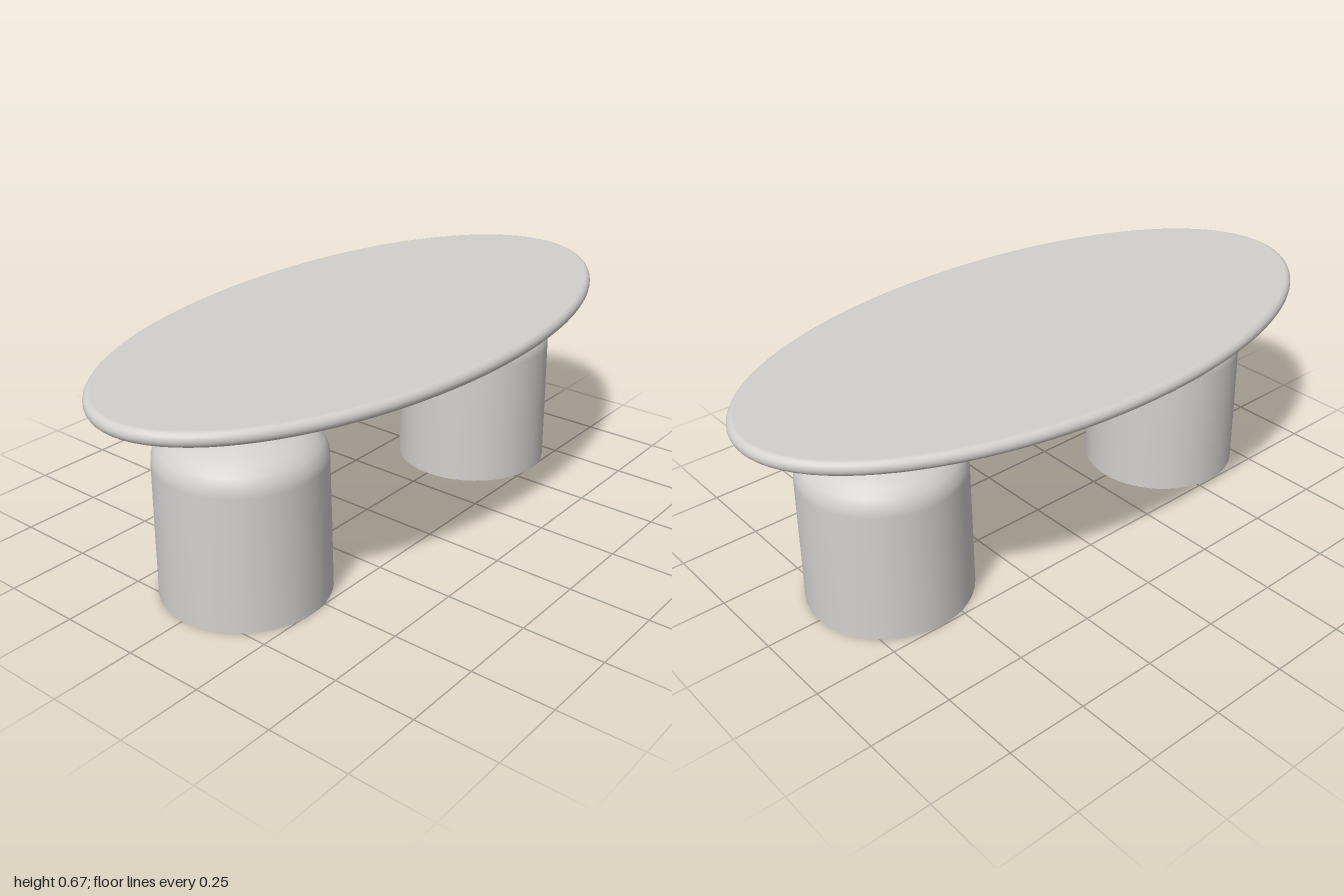
import * as THREE from 'three';
import { mergeVertices } from 'three/addons/utils/BufferGeometryUtils.js';

const stone = new THREE.MeshStandardMaterial({ color: 0xd2d0cd });
stone.name = 'pale stone';

function part(geometry, name) {
  const mesh = new THREE.Mesh(geometry, stone);
  mesh.name = name;
  return mesh;
}

function lathe(points, segments) {
  return new THREE.LatheGeometry(points.map(([r, y]) => new THREE.Vector2(r, y)), segments);
}

// Oval slab with an evenly rounded rim
function tabletopGeometry() {
  const bottom = 0.628, top = 0.671, half = (top - bottom) / 2, core = 1 - half;
  const profile = [[0, bottom]];
  for (let i = 0; i <= 10; i++) {
    const a = -Math.PI / 2 + (i / 10) * Math.PI;
    profile.push([core + half * Math.cos(a), bottom + half + half * Math.sin(a)]);
  }
  profile.push([0, top]);
  const round = lathe(profile, 96);
  round.deleteAttribute('normal');
  round.deleteAttribute('uv');
  const geometry = mergeVertices(round, 1e-5);
  // Narrow the core in z, leaving the rim its full thickness
  const p = geometry.attributes.position;
  for (let i = 0; i < p.count; i++) {
    const r = Math.hypot(p.getX(i), p.getZ(i));
    if (r > 1e-6) p.setZ(i, (p.getZ(i) / r) * (r - 0.495 * Math.min(r, core) / core));
  }
  geometry.computeVertexNormals();
  return geometry;
}

// Domed drum carrying a shallow upturned bowl
function pedestal(x, name) {
  const group = new THREE.Group();
  group.name = name;
  const drum = lathe([
    [0.252, 0], [0.25, 0.2], [0.247, 0.41], [0.245, 0.435], [0.232, 0.462], [0.21, 0.481],
    [0.184, 0.497], [0.15, 0.512], [0.115, 0.525], [0.07, 0.538], [0.035, 0.542], [0, 0.543],
  ], 48);
  const base = new THREE.CircleGeometry(0.252, 48).rotateX(Math.PI / 2);
  const bowl = lathe([
    [0, 0.539], [0.065, 0.541], [0.12, 0.551], [0.165, 0.566],
    [0.2, 0.586], [0.222, 0.607], [0.237, 0.632],
  ], 48);
  group.add(part(drum, 'drum'), part(base, 'drumBase'), part(bowl, 'bowl'));
  group.position.set(x, 0, 0.004);
  return group;
}

export function createModel() {
  const model = new THREE.Group();
  model.name = 'ovalTable';
  model.add(
    part(tabletopGeometry(), 'tabletop'),
    pedestal(-0.56, 'rightPedestal'),
    pedestal(0.58, 'leftPedestal'),
  );
  return model;
}
